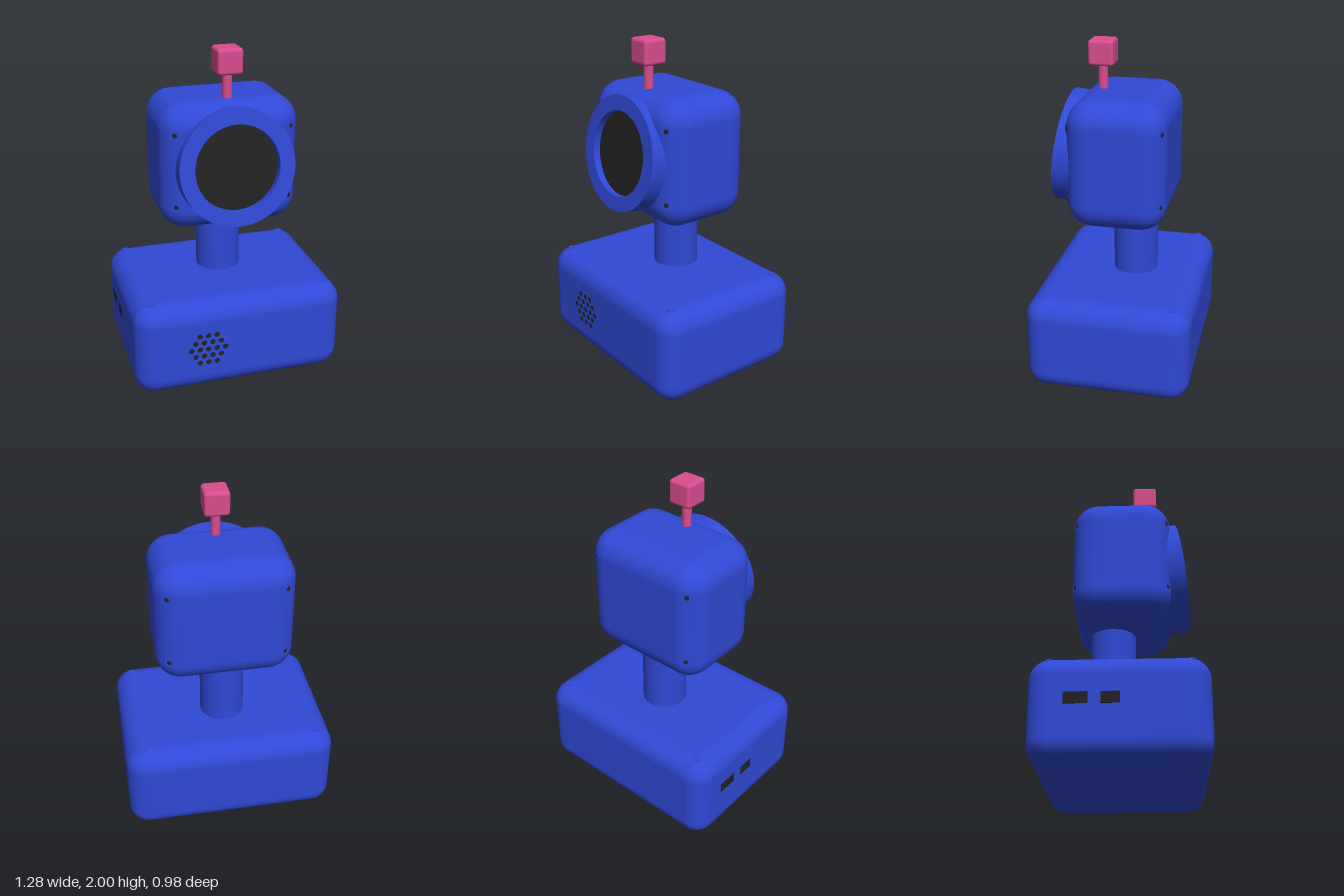
import * as THREE from 'three';
import { RoundedBoxGeometry } from 'three/addons/geometries/RoundedBoxGeometry.js';
import { toCreasedNormals } from 'three/addons/utils/BufferGeometryUtils.js';

export function createModel() {
  const model = new THREE.Group();
  const flat = (name, color) => {
    const m = new THREE.MeshStandardMaterial({ color });
    m.name = name;
    return m;
  };
  const blue = flat('shell blue', 0x3049d6);
  const black = flat('dark grey', 0x222222);
  const pink = flat('antenna pink', 0xd94c8f);

  const add = (name, geometry, material, x, y, z, parent = model) => {
    const mesh = new THREE.Mesh(geometry, material);
    mesh.name = name;
    mesh.position.set(x, y, z);
    parent.add(mesh);
    return mesh;
  };

  // Main bodies
  add('base', new RoundedBoxGeometry(1.28, 0.58, 0.975, 8, 0.12), blue, 0, 0.29, 0);
  add('neck', new THREE.CylinderGeometry(0.135, 0.135, 0.42, 64), blue, 0, 0.77, -0.06);
  add('head', new RoundedBoxGeometry(0.82, 0.76, 0.58, 8, 0.15), blue, 0, 1.33, 0);

  // Lens barrel tilted slightly upward, with a recessed dark pane
  const lens = new THREE.Group();
  lens.name = 'lens';
  lens.position.set(0, 1.355, 0.365);
  lens.rotation.x = Math.PI / 2 - 0.133;
  model.add(lens);
  const profile = [[0.34, -0.2], [0.34, 0], [0.25, 0], [0.25, -0.05]]
    .map(([r, y]) => new THREE.Vector2(r, y));
  add('lensBarrel', toCreasedNormals(new THREE.LatheGeometry(profile, 96), 0.6), blue, 0, 0, 0, lens);
  const pane = add('lensPane', new THREE.CircleGeometry(0.252, 96), black, 0, -0.043, 0, lens);
  pane.rotation.x = -Math.PI / 2;

  // Antenna
  add('antennaStem', new THREE.CylinderGeometry(0.028, 0.028, 0.18, 32), pink, 0, 1.78, 0.14);
  add('antennaCube', new RoundedBoxGeometry(0.15, 0.15, 0.15, 4, 0.02), pink, 0, 1.925, 0.14);

  // Speaker holes in a hexagonal pattern
  const hole = new THREE.CircleGeometry(0.017, 16);
  [3, 4, 5, 4, 3].forEach((count, row) => {
    for (let i = 0; i < count; i++) {
      add('speakerHole', hole, black,
        -0.215 + (i - (count - 1) / 2) * 0.052, 0.29 + (2 - row) * 0.045, 0.4895);
    }
  });

  // Connector sockets on the right side of the base
  const socket = (z, width) => add('socket',
    new RoundedBoxGeometry(0.006, 0.065, width, 2, 0.002), black, -0.6395, 0.33, z);
  socket(-0.225, 0.13);
  socket(-0.045, 0.1);

  // Button outline and pinhole on top of the head
  const ring = add('buttonRing', new THREE.RingGeometry(0.077, 0.092, 64), blue, -0.14, 1.712, -0.033);
  ring.rotation.x = -Math.PI / 2;
  add('pinhole', new THREE.CylinderGeometry(0.016, 0.016, 0.004, 24), blue, 0.15, 1.71, -0.033);

  // Screws at the corners of the base top and of the head's front and back
  for (const sx of [-1, 1]) {
    for (const sz of [-1, 1]) {
      add('baseScrew', new THREE.CylinderGeometry(0.022, 0.022, 0.006, 24), blue,
        sx * 0.535, 0.578, sz * 0.385);
      for (const y of [1.55, 1.12]) {
        const screw = new THREE.Group();
        screw.name = 'headScrew';
        screw.position.set(sx * 0.34, y, sz * 0.268);
        screw.rotation.y = sz > 0 ? sx * 0.56 : Math.PI - sx * 0.56;
        model.add(screw);
        add('screwRim', new THREE.RingGeometry(0.014, 0.03, 24), blue, 0, 0, 0.005, screw);
        add('screwHole', new THREE.CircleGeometry(0.014, 24), black, 0, 0, 0.005, screw);
      }
    }
  }
  return model;
}
